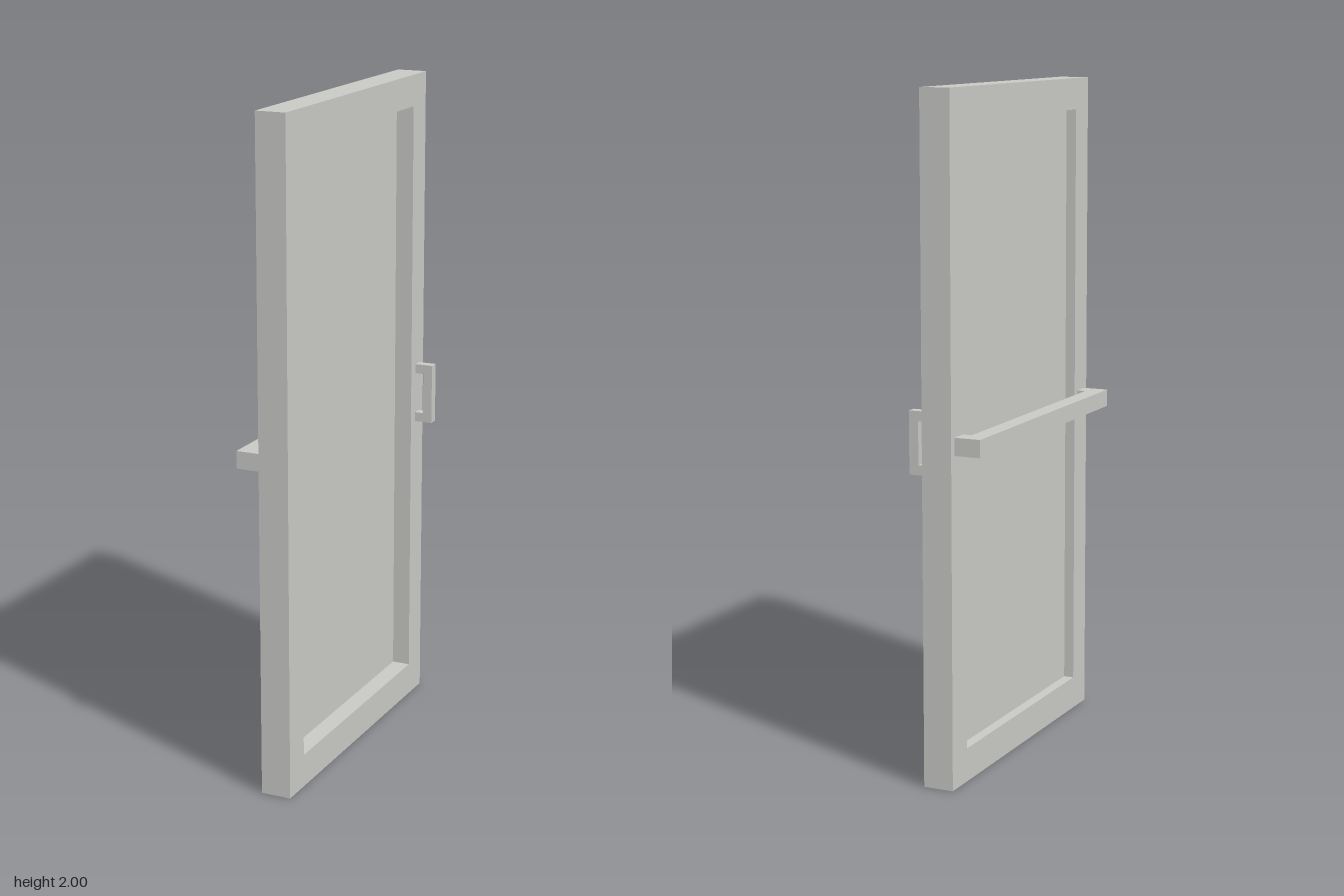
import * as THREE from 'three';

// U-shaped bracket profile: two arms leave the door face at xIn and meet a grip at xOut
function bracket(xIn, xOut, xGrip, low, high, arm, depth) {
  const points = [
    [xIn, low], [xOut, low], [xOut, high], [xIn, high],
    [xIn, high - arm], [xGrip, high - arm], [xGrip, low + arm], [xIn, low + arm],
  ].map(([x, y]) => new THREE.Vector2(x, y));
  return new THREE.ExtrudeGeometry(new THREE.Shape(points), { depth, bevelEnabled: false });
}

function rectangle(path, halfWidth, low, high) {
  path.moveTo(-halfWidth, low);
  path.lineTo(halfWidth, low);
  path.lineTo(halfWidth, high);
  path.lineTo(-halfWidth, high);
  path.closePath();
  return path;
}

export function createModel() {
  const door = new THREE.Group();
  door.name = 'door';
  const grey = new THREE.MeshStandardMaterial({ color: 0xc8c8c5 });
  grey.name = 'light grey';

  const add = (name, geometry) => {
    const mesh = new THREE.Mesh(geometry, grey);
    mesh.name = name;
    door.add(mesh);
    return mesh;
  };

  const back = -0.035, front = 0.057;

  // Frame with a rectangular opening, extruded through the door thickness
  const outline = rectangle(new THREE.Shape(), 0.48, 0, 2);
  outline.holes.push(rectangle(new THREE.Path(), 0.388, 0.1, 1.905));
  const frame = new THREE.ExtrudeGeometry(outline, { depth: front - back, bevelEnabled: false });
  frame.rotateY(Math.PI / 2).translate(back, 0, 0);
  add('frame', frame);

  // Thin recessed pane
  add('pane', new THREE.BoxGeometry(0.005, 1.805, 0.776)).position.set(-0.001, 1.0025, 0);

  // Upright pull handle near the edge
  add('pullHandle', bracket(front, 0.113, 0.084, 0.91, 1.095, 0.029, 0.029)).position.z = -0.449;

  // Horizontal push bar across the other face
  const bar = bracket(back, -0.115, -0.063, -0.46, 0.46, 0.054, 0.052);
  bar.rotateX(-Math.PI / 2).translate(0, 0.978, 0);
  add('pushBar', bar);

  return door;
}
